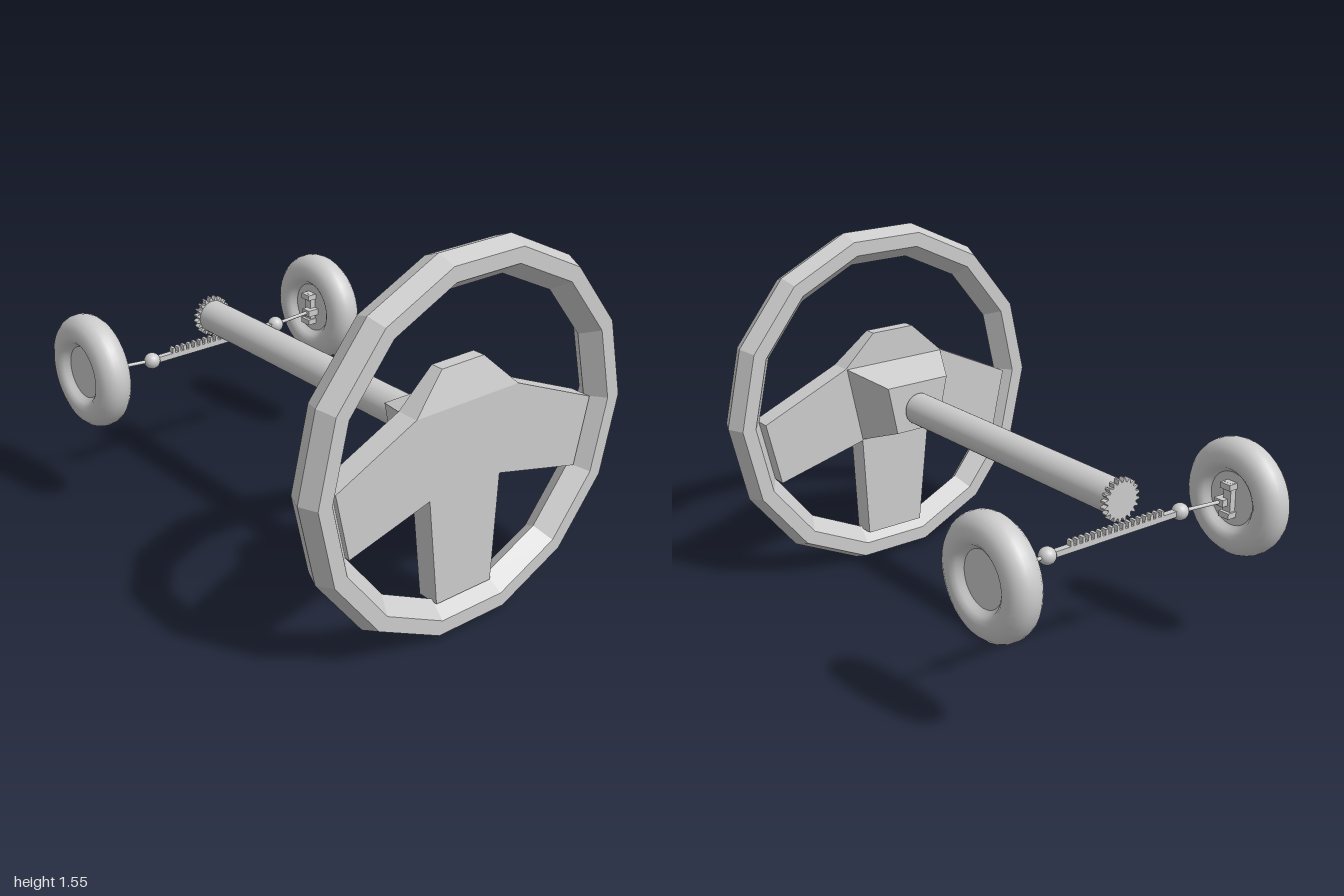
import * as THREE from 'three';

const mat = new THREE.MeshStandardMaterial({ color: 0xcccccc });
const flatMat = new THREE.MeshStandardMaterial({ color: 0xcccccc, flatShading: true });

function add(parent, name, geo, x = 0, y = 0, z = 0, material = mat) {
  const mesh = new THREE.Mesh(geo, material);
  mesh.name = name;
  mesh.position.set(x, y, z);
  parent.add(mesh);
  return mesh;
}

const box = (w, h, d) => new THREE.BoxGeometry(w, h, d);

function extrude(points, depth, z) {
  const shape = new THREE.Shape(points.map(([x, y]) => new THREE.Vector2(x, y)));
  return new THREE.ExtrudeGeometry(shape, { depth, bevelEnabled: false }).translate(0, 0, z);
}

// Moves every vertex by a rule
function reshape(geo, rule) {
  const pos = geo.attributes.position;
  const v = new THREE.Vector3();
  for (let i = 0; i < pos.count; i++) {
    rule(v.fromBufferAttribute(pos, i));
    pos.setXYZ(i, v.x, v.y, v.z);
  }
  geo.computeVertexNormals();
  return geo;
}

// Cylinder between two points
function rod(parent, name, a, b, radius) {
  const from = new THREE.Vector3(...a), to = new THREE.Vector3(...b);
  const dir = to.clone().sub(from);
  const mesh = add(parent, name, new THREE.CylinderGeometry(radius, radius, dir.length(), 10));
  mesh.position.copy(from).lerp(to, 0.5);
  mesh.quaternion.setFromUnitVectors(new THREE.Vector3(0, 1, 0), dir.normalize());
}

function buildSteeringWheel() {
  const g = new THREE.Group();
  g.name = 'steeringWheel';

  // Fourteen-sided rim with a hexagonal section
  const section = [[0.646, 0], [0.703, -0.075], [0.766, -0.075], [0.797, 0], [0.766, 0.075], [0.703, 0.075], [0.646, 0]];
  const rim = new THREE.LatheGeometry(section.map(([r, h]) => new THREE.Vector2(r, h)), 14, Math.PI / 2);
  rim.rotateX(Math.PI / 2);
  add(g, 'rim', rim, 0, 0.78, 0.923, flatMat);

  // Three-spoke plate
  add(g, 'spokes', extrude([
    [-0.28, 0.96], [-0.65, 0.785], [-0.585, 0.5], [-0.2, 0.605], [-0.145, 0.14],
    [0.14, 0.14], [0.16, 0.605], [0.585, 0.5], [0.65, 0.785], [0.235, 0.96],
  ], 0.095, 0.855));

  // Upper part of the plate, leaning back
  add(g, 'upperPad', reshape(
    extrude([[-0.28, 0.96], [0.235, 0.96], [0.085, 1.102], [-0.125, 1.102]], 0.095, 0.855),
    v => { if (v.y > 1 && v.z > 0.9) v.z = 0.91; }));

  // Hub tapering towards the column
  add(g, 'hub', reshape(
    extrude([[-0.28, 0.958], [-0.2, 0.61], [0.16, 0.61], [0.23, 0.958]], 0.19, 0.667),
    v => {
      if (v.z > 0.7) return;
      v.x = -0.02 + (v.x + 0.02) * 0.62;
      v.y = 0.79 + (v.y - 0.79) * 0.63;
    }));
  return g;
}

function buildPinion() {
  const pts = [], teeth = 20;
  for (let i = 0; i < teeth; i++) {
    for (const [f, r] of [[0, 0.074], [0.25, 0.09], [0.5, 0.09], [0.75, 0.074]]) {
      const a = ((i + f) / teeth) * Math.PI * 2;
      pts.push([r * Math.cos(a), r * Math.sin(a)]);
    }
  }
  return extrude(pts, 0.026, -0.013);
}

function buildRoadWheel(side) {
  const g = new THREE.Group();
  g.name = side > 0 ? 'leftWheel' : 'rightWheel';

  // Tyre section running from one recess round the tread to the other
  const half = [[0.112, 0.035], [0.124, 0.045], [0.134, 0.06], [0.15, 0.071], [0.168, 0.074],
    [0.195, 0.072], [0.222, 0.06], [0.24, 0.04], [0.248, 0.02]];
  const profile = [
    ...half.map(([r, h]) => new THREE.Vector2(r, -h)),
    new THREE.Vector2(0.25, 0),
    ...half.slice().reverse().map(([r, h]) => new THREE.Vector2(r, h)),
  ];
  add(g, 'tyre', new THREE.LatheGeometry(profile, 36).rotateZ(Math.PI / 2));
  add(g, 'wheelDisc', new THREE.CylinderGeometry(0.115, 0.115, 0.074, 36).rotateZ(Math.PI / 2));

  // Steering knuckle on the inner face
  add(g, 'knucklePlate', box(0.03, 0.15, 0.04), -side * 0.05, 0, 0);
  for (const s of [-1, 1]) add(g, 'knuckleLug', box(0.045, 0.025, 0.055), -side * 0.058, s * 0.062, 0);
  add(g, 'knuckleArm', box(0.055, 0.03, 0.05), -side * 0.065, -0.01, 0.02);
  return g;
}

export function createModel() {
  const model = new THREE.Group();
  model.name = 'steeringAssembly';
  model.add(buildSteeringWheel());

  // Column and pinion
  add(model, 'column', new THREE.CylinderGeometry(0.072, 0.072, 1.345, 32).rotateX(Math.PI / 2), -0.013, 0.78, -0.025);
  add(model, 'pinion', buildPinion(), -0.013, 0.78, -0.698);

  // Toothed rack under the pinion
  const rackY = 0.645, rackZ = -0.698;
  add(model, 'rack', box(0.64, 0.024, 0.028), 0.003, rackY, rackZ);
  for (let i = 0; i < 17; i++) {
    add(model, 'rackTooth', box(0.014, 0.026, 0.028), -0.23 + i * 0.029, rackY + 0.022, rackZ);
  }

  // Ball joints, tie rods and road wheels on both sides
  const sides = [
    { s: 1, ball: 0.345, wheel: [0.633, 0.658, -0.735] },
    { s: -1, ball: -0.338, wheel: [-0.613, 0.658, -0.75] },
  ];
  for (const { s, ball, wheel } of sides) {
    add(model, 'ballJoint', new THREE.SphereGeometry(0.036, 20, 14), ball, rackY, rackZ);
    rod(model, 'tieRod', [ball, rackY, rackZ], [wheel[0] - s * 0.07, wheel[1] - 0.01, wheel[2] + 0.018], 0.008);
    const roadWheel = buildRoadWheel(s);
    roadWheel.position.set(...wheel);
    model.add(roadWheel);
  }
  return model;
}
